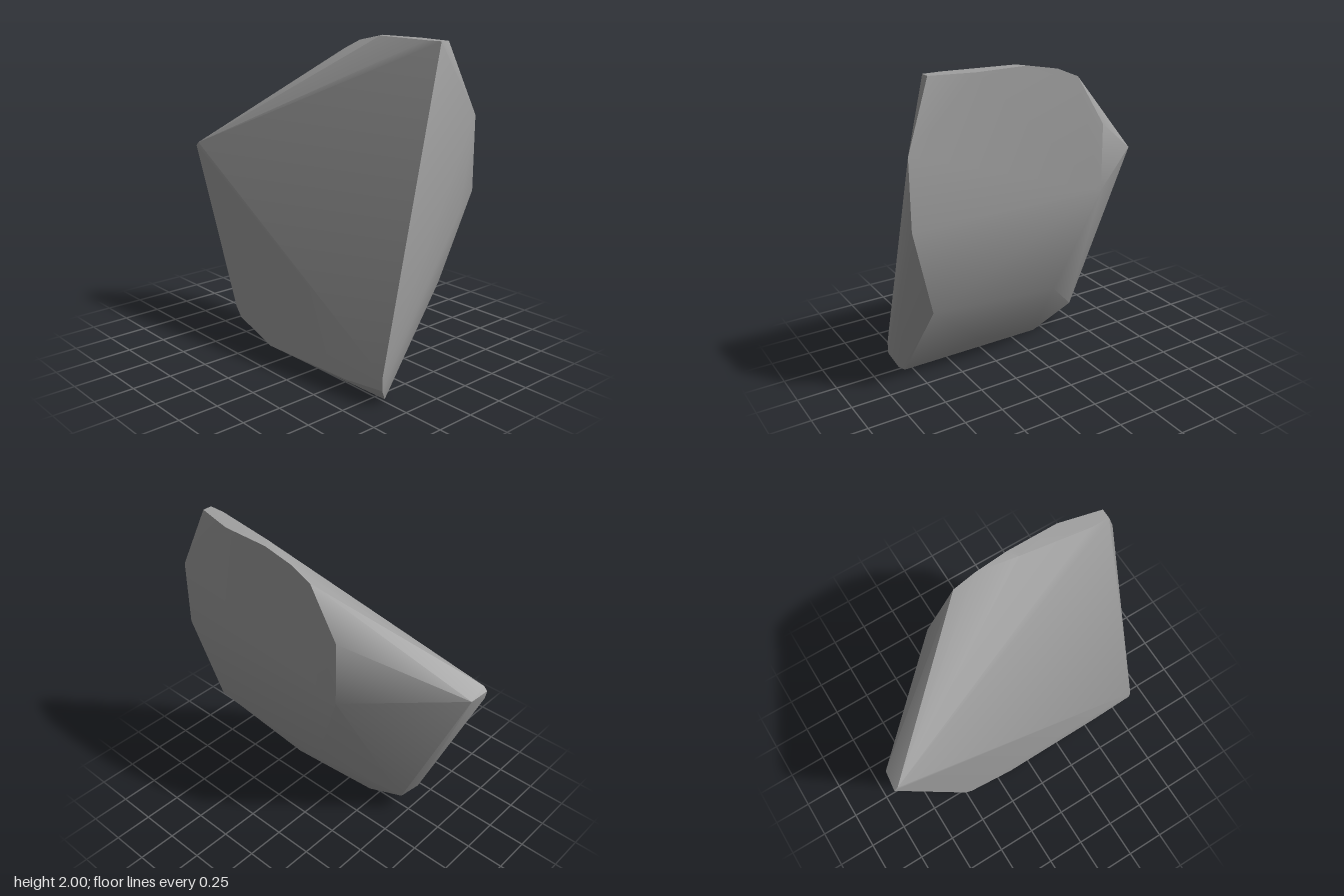
import * as THREE from 'three';
import { ConvexGeometry } from 'three/addons/geometries/ConvexGeometry.js';
import { toCreasedNormals } from 'three/addons/utils/BufferGeometryUtils.js';

export function createModel() {
  const stone = new THREE.MeshStandardMaterial({ color: 0xa0a0a0 });
  stone.name = 'stone grey';

  // Corners of the boulder, grouped by the face or ridge they bound
  const corners = [
    // flat back
    [0.94, 1.17, -0.31], [0.94, 1.6, -0.31], [0.52, 2, -0.31], [0.2, 2, -0.31],
    [0, 1.96, -0.31], [-0.14, 1.9, -0.31], [-0.33, 1.59, -0.31], [-0.33, 1.17, -0.31],
    // top
    [0.78, 2, -0.19], [0.78, 2, -0.25], [0.67, 2, -0.19], [0.24, 2, -0.25],
    // pointed side
    [-0.92, 1.255, 0.31], [-0.945, 1.23, 0.31], [-0.94, 1.18, 0.3], [-0.93, 1.22, 0.18],
    // lower front edge
    [-0.52, 0.19, 0.31], [-0.47, 0.13, 0.31], [-0.15, 0.03, 0.31],
    [0.57, 0.06, 0.31], [0.87, 0.1, 0.31], [0.87, 0.18, 0.31],
    // base
    [-0.22, 0.005, 0.25], [-0.18, 0, 0.22], [0.3, 0, 0.25], [0.8, 0, 0.22],
    [0.83, 0.015, 0.25], [-0.47, 0.14, 0.2],
    // steep side and undercut ridges of the back
    [0.94, 1.05, -0.2], [0.79, 0.6, -0.22], [-0.07, 0.52, -0.19], [0.33, 0.16, 0.05],
  ].map((p) => new THREE.Vector3(...p));

  const rock = new THREE.Mesh(toCreasedNormals(new ConvexGeometry(corners), 0.6), stone);
  rock.name = 'boulder';

  const group = new THREE.Group();
  group.name = 'rock';
  group.add(rock);
  return group;
}
